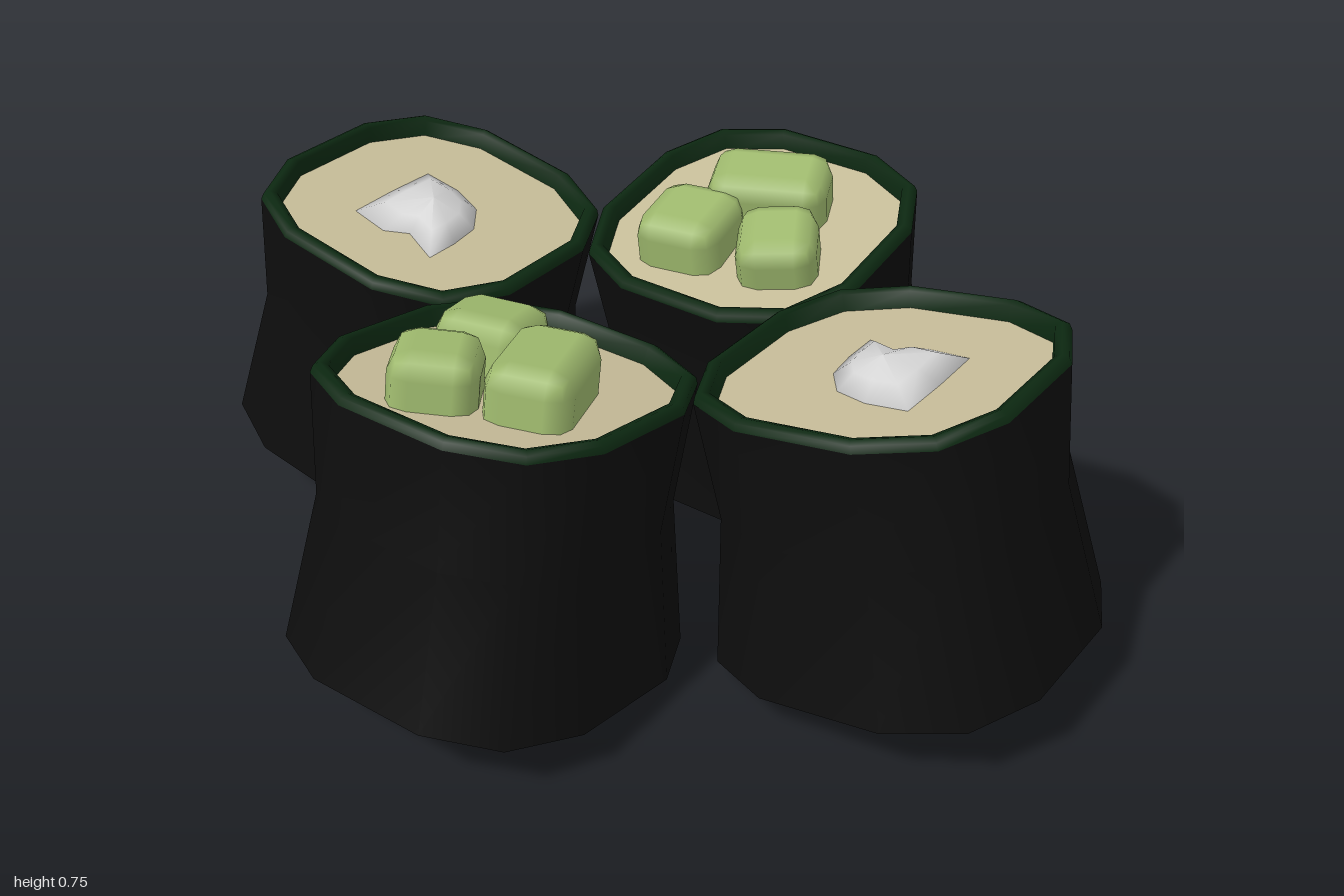
import * as THREE from 'three';
import { RoundedBoxGeometry } from 'three/addons/geometries/RoundedBoxGeometry.js';

const mat = (name, color, side = THREE.FrontSide) => {
  const m = new THREE.MeshStandardMaterial({ color, side });
  m.name = name;
  return m;
};

// Skin a fixed cross-section [x, z] through rings of [scale, y]
function loft(section, rings) {
  const n = section.length, pos = [], idx = [];
  for (const [s, y] of rings) for (const [x, z] of section) pos.push(x * s, y, z * s);
  for (let i = 0; i < rings.length - 1; i++) {
    for (let j = 0; j < n; j++) {
      const a = i * n + j, b = i * n + (j + 1) % n;
      idx.push(a, a + n, b, b, a + n, b + n);
    }
  }
  const g = new THREE.BufferGeometry();
  g.setAttribute('position', new THREE.Float32BufferAttribute(pos, 3));
  g.setIndex(idx);
  g.computeVertexNormals();
  return g;
}

// Twelve-sided rounded square, built from one corner turned four times
const squircle = [];
for (let q = 0; q < 4; q++) {
  for (const [x, z] of [[1, 0.38], [0.8, 0.8], [0.38, 1]]) {
    const c = [1, 0, -1, 0][q], s = [0, 1, 0, -1][q];
    squircle.push([x * c - z * s, x * s + z * c]);
  }
}

// Notched outline of the pale filling
const notched = [
  [0.095, -0.02], [0.13, 0.025], [0.12, 0.117], [0, 0.12], [-0.116, 0.117],
  [-0.116, 0.025], [-0.09, -0.052], [-0.026, -0.1], [0.05, -0.11], [0.13, -0.11],
];

export function createModel() {
  const seaweed = mat('seaweed black', 0x0d0d0d, THREE.DoubleSide);
  const edge = mat('seaweed edge green', 0x0c2811, THREE.DoubleSide);
  const rice = mat('rice cream', 0xc6bc98, THREE.DoubleSide);
  const green = mat('vegetable green', 0x9fba6e);
  const pale = mat('filling white', 0xd6d6d6);

  const wrapGeo = loft(squircle, [[0.345, 0], [0.302, 0.313], [0.319, 0.56]]);
  const rimGeo = loft(squircle, [[0.319, 0.56], [0.315, 0.574], [0.304, 0.581], [0.29, 0.576], [0.284, 0.535]]);
  const riceGeo = loft(squircle, [[0.286, 0.542], [0, 0.542]]);
  const fillGeo = loft(notched, [[0, 0.24], [0.95, 0.25], [1, 0.54], [0.6, 0.568], [0, 0.585]]);

  const model = new THREE.Group();
  model.name = 'rolls';

  // One roll: turned about y, leaning inward, with its chosen filling
  function addRoll(name, turn, distance, height, tilt, blocks) {
    const arm = new THREE.Group();
    arm.name = name;
    arm.rotation.y = turn;
    const roll = new THREE.Group();
    roll.name = 'rollBody';
    roll.position.set(0, height, distance);
    roll.rotation.x = -tilt;
    arm.add(roll);
    const add = (part, geo, m) => {
      const mesh = new THREE.Mesh(geo, m);
      mesh.name = part;
      roll.add(mesh);
      return mesh;
    };
    add('seaweedWrap', wrapGeo, seaweed);
    add('seaweedRim', rimGeo, edge);
    add('riceTop', riceGeo, rice);
    if (!blocks) add('paleFilling', fillGeo, pale);
    else for (const [x, z, w, d, top, bottom, spin, lean] of blocks) {
      const block = add('vegetableBlock', new RoundedBoxGeometry(w, top - bottom, d, 1, 0.045), green);
      block.position.set(x, (top + bottom) / 2, z);
      block.rotation.set(lean, spin, 0, 'YXZ');
    }
    model.add(arm);
  }

  // Blocks: x, z, width, depth, top, bottom, spin, lean
  const leftBlocks = [
    [0.09, -0.11, 0.19, 0.2, 0.645, 0.25, 0.15, 0.06],
    [0.015, 0.08, 0.17, 0.26, 0.655, 0.22, -1.18, 0.05],
    [-0.11, -0.07, 0.17, 0.18, 0.645, 0.18, 0.5, -0.05],
  ];
  const rightBlocks = [
    [-0.07, 0.12, 0.17, 0.18, 0.65, 0.25, 0.6, 0.05],
    [-0.11, -0.08, 0.19, 0.19, 0.645, 0.25, 0.3, -0.05],
    [0.085, 0, 0.17, 0.26, 0.655, 0.19, 0.38, 0.04],
  ];
  addRoll('frontRoll', 0, 0.661, 0.106, 0.185, null);
  addRoll('backRoll', Math.PI, 0.661, 0.106, 0.185, null);
  addRoll('leftRoll', Math.PI / 2, 0.515, 0.075, 0.2, leftBlocks);
  addRoll('rightRoll', -Math.PI / 2, 0.513, 0.082, 0.17, rightBlocks);
  return model;
}
